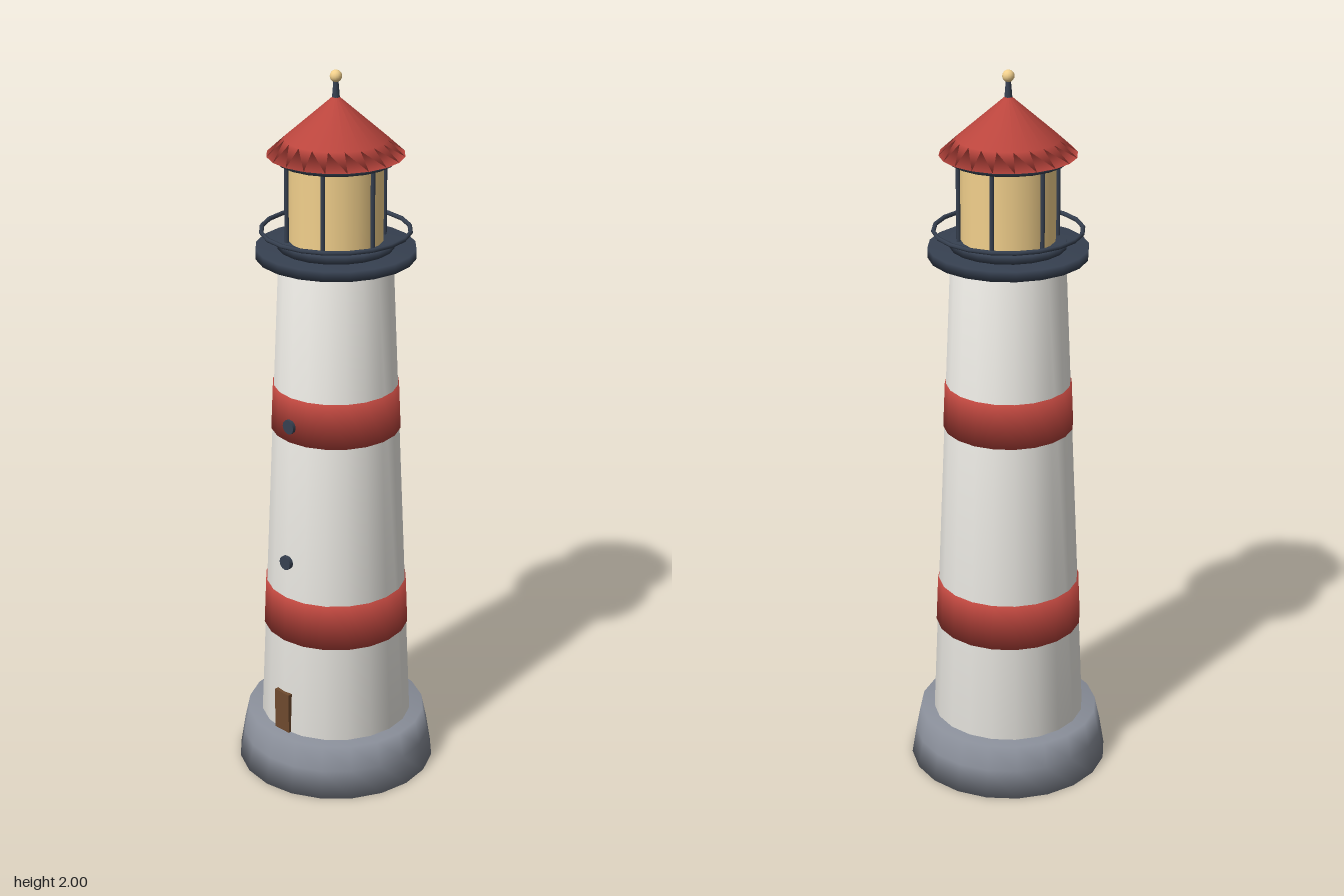
import * as THREE from 'three';

const SIDES = 20;
const paint = (color) => new THREE.MeshStandardMaterial({ color });
const white = paint(0xf0eee8);
const red = paint(0xba453d);
const stone = paint(0x8a8f9a);
const iron = paint(0x364050);
const glow = paint(0xf2d08c);
const wood = paint(0x6e4a2e);

export function createModel() {
  const model = new THREE.Group();

  const add = (name, geometry, material, x = 0, y = 0, z = 0) => {
    const mesh = new THREE.Mesh(geometry, material);
    mesh.name = name;
    mesh.position.set(x, y, z);
    model.add(mesh);
    return mesh;
  };

  // Closed turned solid from [radius, height] pairs, bottom to top
  const turned = (name, material, rings) => {
    const profile = [[0, rings[0][1]], ...rings];
    const last = rings[rings.length - 1];
    if (last[0] > 0) profile.push([0, last[1]]);
    const points = profile.map(([r, y]) => new THREE.Vector2(r, y));
    return add(name, new THREE.LatheGeometry(points, SIDES), material);
  };

  // Radius of the tapering tower wall at a height
  const wall = (y) => THREE.MathUtils.mapLinear(y, 0.15, 1.51, 0.212, 0.153);

  // Base and tower
  turned('base', stone, [[0.278, 0], [0.265, 0.08], [0.25, 0.15]]);
  turned('tower', white, [[wall(0.15), 0.15], [wall(1.51), 1.51]]);

  // Painted bands
  for (const [low, high] of [[0.43, 0.56], [1.02, 1.145]]) {
    turned('band', red, [[wall(low) + 0.003, low], [wall(high) + 0.003, high]]);
  }

  // Door and round windows on the front
  add('door', new THREE.BoxGeometry(0.054, 0.12, 0.025), wood, 0, 0.21, 0.203);
  for (const y of [0.667, 1.065]) {
    const porthole = new THREE.CylinderGeometry(0.02, 0.02, 0.025, 12).rotateX(Math.PI / 2);
    add('window', porthole, iron, 0, y, wall(y) - 0.003);
  }

  // Gallery deck and railing
  turned('galleryDeck', iron, [[0.213, 1.503], [0.213, 1.53]]);
  const rail = new THREE.TorusGeometry(0.197, 0.006, 6, SIDES).rotateX(Math.PI / 2);
  add('galleryRail', rail, iron, 0, 1.575, 0);

  // Lantern room with sill, glazing, six bars and top ring
  turned('lanternSill', iron, [[0.155, 1.53], [0.155, 1.55]]);
  add('lanternGlass', new THREE.CylinderGeometry(0.126, 0.126, 0.22, SIDES), glow, 0, 1.66, 0);
  for (let i = 0; i < 6; i++) {
    const a = (i / 6) * Math.PI * 2;
    add('lanternBar', new THREE.CylinderGeometry(0.006, 0.006, 0.22, 6), iron,
      Math.cos(a) * 0.133, 1.66, Math.sin(a) * 0.133);
  }
  turned('lanternTopRing', iron, [[0.157, 1.764], [0.157, 1.78]]);

  // Roof and finial
  turned('roof', red, [[0.181, 1.779], [0.135, 1.821], [0, 1.938]]);
  add('finialRod', new THREE.CylinderGeometry(0.006, 0.011, 0.06, 10), iron, 0, 1.95, 0);
  add('finialBall', new THREE.SphereGeometry(0.016, 14, 10), glow, 0, 1.984, 0);

  return model;
}
